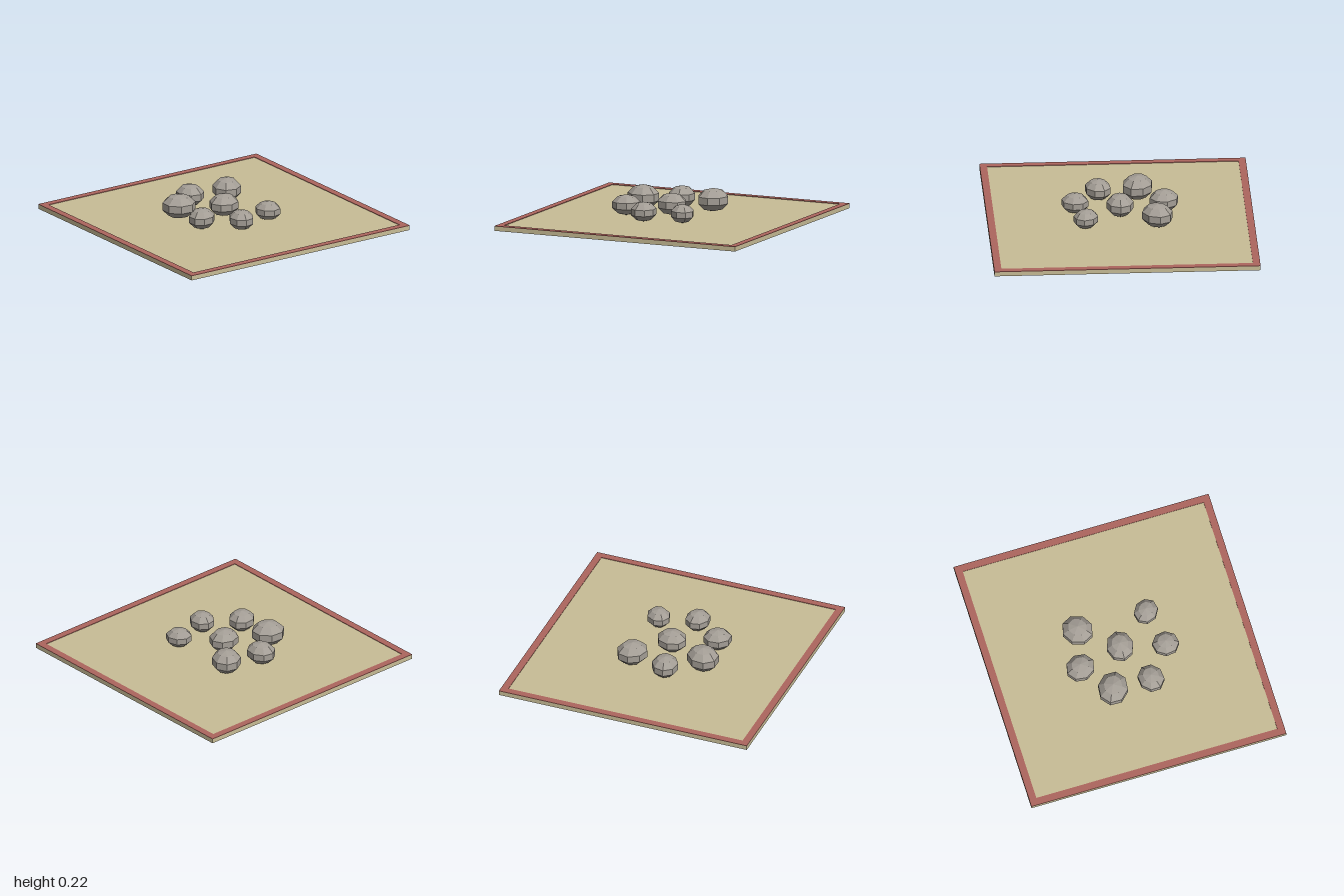
import * as THREE from 'three';

const FLOOR = 0.033; // top of the tray floor
const RIM_TOP = 0.037;

function square(path, h) {
  path.moveTo(-h, -h);
  path.lineTo(h, -h);
  path.lineTo(h, h);
  path.lineTo(-h, h);
  path.closePath();
  return path;
}

export function createModel() {
  const model = new THREE.Group();
  model.name = 'stoneGarden';
  const sand = new THREE.MeshStandardMaterial({ color: 0xc8bd96 });
  const red = new THREE.MeshStandardMaterial({ color: 0xad655e });
  const grey = new THREE.MeshStandardMaterial({ color: 0xa49e96, flatShading: true });

  // Sand-coloured base slab
  const base = new THREE.Mesh(new THREE.BoxGeometry(2, FLOOR, 2), sand);
  base.name = 'base';
  base.position.y = FLOOR / 2;
  model.add(base);

  // Thin raised border, one square ring
  const ring = square(new THREE.Shape(), 1);
  ring.holes.push(square(new THREE.Path(), 0.945));
  const borderGeo = new THREE.ExtrudeGeometry(ring, { depth: RIM_TOP - FLOOR, bevelEnabled: false });
  borderGeo.rotateX(-Math.PI / 2);
  const border = new THREE.Mesh(borderGeo, red);
  border.name = 'border';
  border.position.y = FLOOR;
  model.add(border);

  // Flattened faceted stones: one in the centre, six on a seven-step ring
  // with one gap, each with its long axis pointing outward
  const stones = new THREE.Group();
  stones.name = 'stones';
  const stoneGeo = new THREE.SphereGeometry(1, 8, 5);
  const radii = [0.12, 0.102, 0.107, 0.112, 0.132, 0.117, 0.127];
  radii.forEach((r, i) => {
    const a = (i * Math.PI * 2) / 7;
    const d = i === 0 ? 0 : 0.343;
    const stone = new THREE.Mesh(stoneGeo, grey);
    stone.name = i === 0 ? 'centreStone' : `ringStone${i}`;
    stone.scale.set(r, r * 0.7, r * 0.9);
    stone.rotation.y = -a;
    stone.position.set(d * Math.cos(a), FLOOR + 0.002 + r * 0.7, d * Math.sin(a));
    stones.add(stone);
  });
  model.add(stones);
  return model;
}
